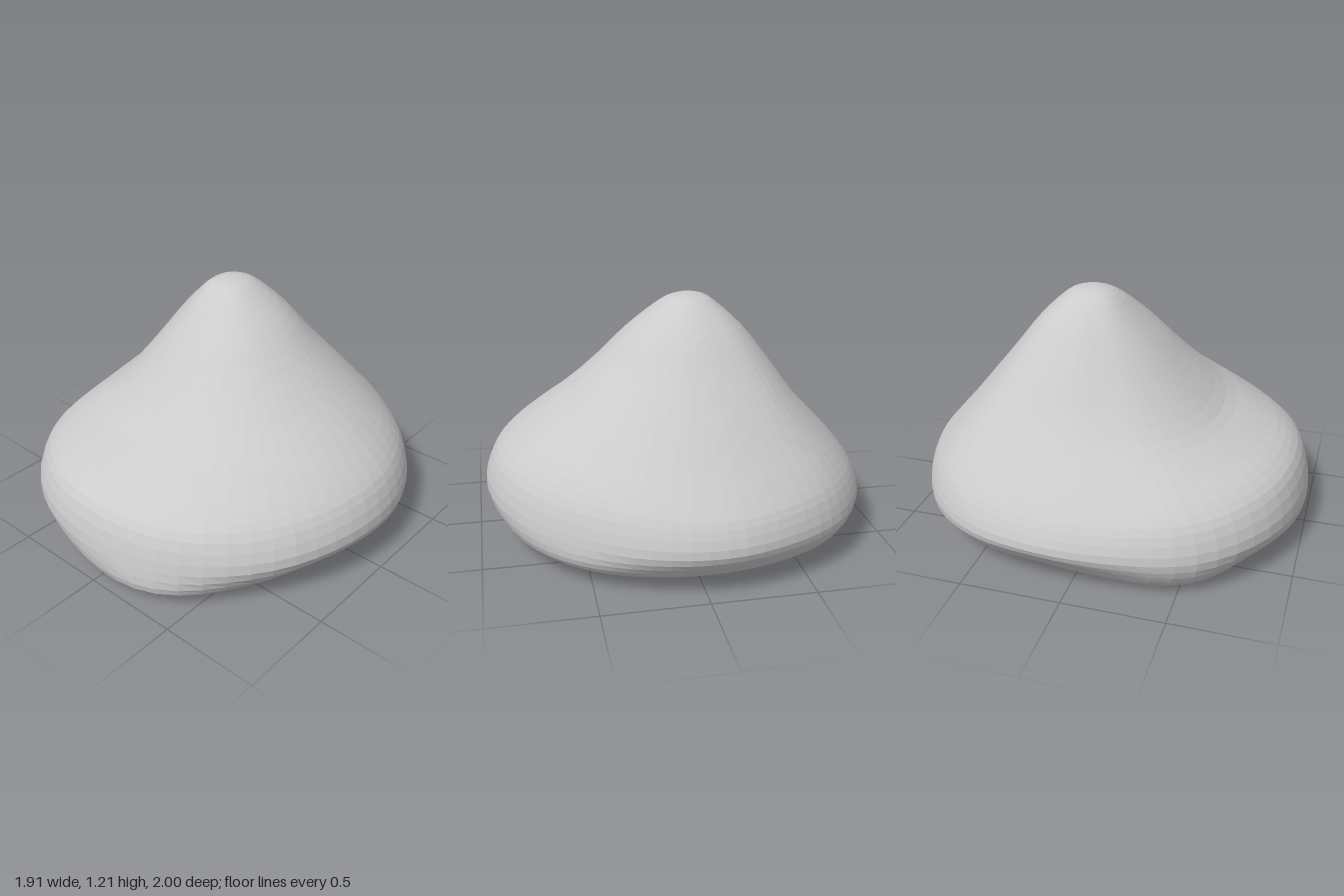
import * as THREE from 'three';

// Peak of the mound, the axis that all profiles run out from
const PEAK = new THREE.Vector3(-0.08, 1.21, -0.13);

// Share of the rim radius at each profile station, from peak to underside centre
const STATIONS = [0, 0.07, 0.15, 0.3, 0.45, 0.6, 0.75, 0.88, 0.96, 1, 0.97, 0.88, 0.68, 0.35, 0];
const RIM = 9;

// Rim radius every 22.5 degrees, from +x towards +z
const RADII = [1.03, 1.07, 1.115, 1.145, 1.125, 1.09, 1.025, 0.92,
  0.875, 0.875, 0.87, 0.855, 0.87, 0.88, 0.905, 0.97];

// How far the underside spreads in the same directions: rounded corners, drawn-in sides
const FOOT = [0.96, 0.93, 0.97, 1.03, 1.0, 0.95, 0.99, 0.97,
  0.96, 0.98, 1.0, 0.98, 0.96, 0.98, 1.02, 1.0];

// Heights of eight profiles, every 45 degrees, without the shared end points
const PROFILES = [
  [1.16, 1.04, 0.885, 0.745, 0.62, 0.505, 0.40, 0.24, 0.11, 0.06, 0.035],
  [1.16, 1.02, 0.85, 0.70, 0.58, 0.47, 0.37, 0.22, 0.10, 0.03, 0.01],
  [1.15, 0.975, 0.785, 0.625, 0.54, 0.47, 0.38, 0.20, 0.06, 0.005, 0],
  [1.16, 0.98, 0.79, 0.63, 0.52, 0.43, 0.34, 0.20, 0.08, 0.01, 0],
  [1.165, 1.04, 0.87, 0.69, 0.555, 0.43, 0.33, 0.22, 0.14, 0.07, 0.02],
  [1.17, 1.06, 0.91, 0.75, 0.595, 0.46, 0.35, 0.22, 0.14, 0.07, 0.04],
  [1.17, 1.045, 0.88, 0.72, 0.56, 0.43, 0.34, 0.22, 0.13, 0.07, 0.045],
  [1.17, 1.055, 0.90, 0.76, 0.62, 0.49, 0.37, 0.22, 0.12, 0.06, 0.045],
].map((y) => [PEAK.y, 1.203, ...y, 0.025, 0.03]);

// Smooth closed loop through evenly spaced values
function blendAround(values, turn) {
  const n = values.length;
  const k = Math.floor(turn * n);
  const at = (i) => values[(i + n) % n];
  const t = turn * n - k;
  const [a, b, c, d] = [at(k - 1), at(k), at(k + 1), at(k + 2)];
  return b + 0.5 * t * (c - a + t * (2 * a - 5 * b + 4 * c - d + t * (3 * (b - c) + d - a)));
}

// Profile curve (distance from axis, height) in one direction
function profileAt(turn) {
  const radius = blendAround(RADII, turn);
  const foot = blendAround(FOOT, turn);
  return new THREE.SplineCurve(STATIONS.map((f, s) => new THREE.Vector2(
    f * radius * (s > RIM ? foot : 1),
    blendAround(PROFILES.map((h) => h[s]), turn),
  )));
}

function createMoundGeometry(around = 64, rows = 42) {
  const positions = [];
  const index = [];
  for (let j = 0; j < around; j++) {
    const angle = (j / around) * Math.PI * 2;
    const profile = profileAt(j / around);
    for (let i = 0; i <= rows; i++) {
      const p = profile.getPoint(i / rows);
      positions.push(
        PEAK.x + Math.cos(angle) * p.x,
        Math.max(0, p.y),
        PEAK.z + Math.sin(angle) * p.x,
      );
      if (i === rows) continue;
      const a = j * (rows + 1) + i;
      const b = ((j + 1) % around) * (rows + 1) + i;
      if (i > 0) index.push(a, b, a + 1);
      if (i < rows - 1) index.push(b, b + 1, a + 1);
    }
  }
  const geometry = new THREE.BufferGeometry();
  geometry.setAttribute('position', new THREE.Float32BufferAttribute(positions, 3));
  geometry.setIndex(index);
  geometry.computeVertexNormals();
  return geometry;
}

export function createModel() {
  const group = new THREE.Group();
  group.name = 'roundedMound';
  const material = new THREE.MeshStandardMaterial({ color: 0xcccccc, flatShading: true });
  const mound = new THREE.Mesh(createMoundGeometry(), material);
  mound.name = 'mound';
  group.add(mound);
  return group;
}
